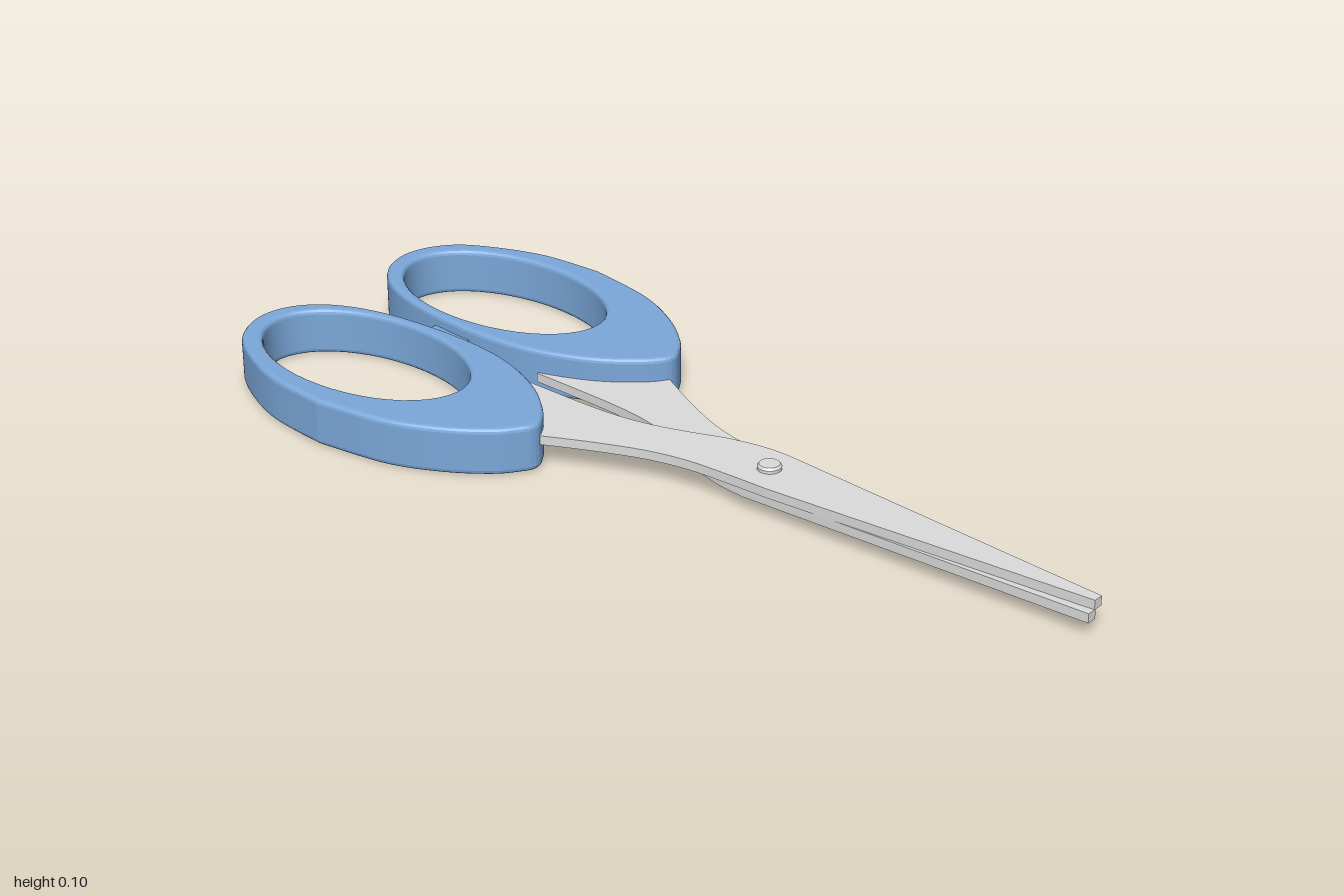
import * as THREE from 'three';
import { toCreasedNormals } from 'three/addons/utils/BufferGeometryUtils.js';

const blue = new THREE.MeshStandardMaterial({ name: 'handleBlue', color: 0x7ba8da });
const steel = new THREE.MeshStandardMaterial({ name: 'bladeSteel', color: 0xdcdcdc });

// Plan points are [x, z]; shapes are drawn with y = -z and then laid flat.
const plan = (points, side) => points.map(([x, z]) => new THREE.Vector2(x * side, -z));

function layFlat(geometry, y, crease) {
  geometry.rotateX(-Math.PI / 2);
  geometry.translate(0, y, 0);
  return toCreasedNormals(geometry, crease);
}

// Finger loop: pointed egg outline with an oval hole and rounded edges
function makeHandle(side) {
  const outline = plan([
    [0.423, -0.61], [0.406, -0.77], [0.345, -0.915], [0.285, -0.977], [0.21, -1], [0.135, -0.977],
    [0.075, -0.91], [0.036, -0.8], [0.019, -0.65], [0.022, -0.52], [0.042, -0.42],
    [0.085, -0.32], [0.14, -0.245], [0.185, -0.207], [0.21, -0.2], [0.237, -0.212],
    [0.285, -0.25], [0.345, -0.332], [0.395, -0.445], [0.423, -0.61],
  ], side);
  const shape = new THREE.Shape();
  shape.moveTo(outline[0].x, outline[0].y);
  shape.splineThru(outline.slice(1));
  // The hole has to wind against the outline, which the mirroring reverses
  const hole = new THREE.Path();
  hole.absellipse(0.207 * side, 0.692, 0.158, 0.265, 0, Math.PI * 2, side > 0);
  shape.holes.push(hole);
  const bevel = 0.01;
  const geometry = new THREE.ExtrudeGeometry(shape, {
    depth: 0.102 - 2 * bevel, bevelThickness: bevel, bevelSize: bevel,
    bevelOffset: -bevel, bevelSegments: 3, curveSegments: 24,
  });
  const mesh = new THREE.Mesh(layFlat(geometry, bevel, 0.25), blue);
  mesh.name = side > 0 ? 'leftHandle' : 'rightHandle';
  return mesh;
}

// Blade: shank from one handle that crosses over at the pivot and tapers to the tip
function makeBlade(side, y, name) {
  const outer = plan([
    [0.198, -0.205], [0.15, -0.11], [0.105, -0.005], [0.082, 0.085], [0.074, 0.17], [0.069, 0.28],
  ], side);
  const inner = plan([
    [-0.067, 0.22], [-0.062, 0.16], [-0.045, 0.09], [-0.014, 0.01],
    [0.01, -0.06], [0.027, -0.14], [0.034, -0.25], [0.035, -0.43],
  ], side);
  const [root, tipInner, tipOuter] = plan([[0.2, -0.38], [0.002, 1], [-0.02, 1]], side);
  const shape = new THREE.Shape();
  shape.moveTo(root.x, root.y);
  shape.lineTo(outer[0].x, outer[0].y);
  shape.splineThru(outer.slice(1));
  shape.lineTo(tipInner.x, tipInner.y);
  shape.lineTo(tipOuter.x, tipOuter.y);
  shape.lineTo(inner[0].x, inner[0].y);
  shape.splineThru(inner.slice(1));
  const geometry = new THREE.ExtrudeGeometry(shape, {
    depth: 0.02, bevelEnabled: false, curveSegments: 6,
  });
  const mesh = new THREE.Mesh(layFlat(geometry, y, 0.5), steel);
  mesh.name = name;
  return mesh;
}

// Pivot screw: shaft with a chamfered head on both faces
function makeScrew() {
  const screw = new THREE.Group();
  screw.name = 'pivotScrew';
  for (const [name, top, bottom, height, y] of [
    ['screwShaft', 0.025, 0.025, 0.053, 0.0515],
    ['upperScrewHead', 0.021, 0.025, 0.005, 0.0805],
    ['lowerScrewHead', 0.025, 0.021, 0.005, 0.0225],
  ]) {
    const part = new THREE.Mesh(new THREE.CylinderGeometry(top, bottom, height, 32), steel);
    part.name = name;
    part.position.y = y;
    screw.add(part);
  }
  screw.position.z = 0.232;
  return screw;
}

export function createModel() {
  const group = new THREE.Group();
  group.name = 'scissors';

  for (const side of [-1, 1]) group.add(makeHandle(side));
  group.add(makeBlade(-1, 0.0515, 'upperBlade'));
  group.add(makeBlade(1, 0.031, 'lowerBlade'));
  group.add(makeScrew());

  // Stop between the two finger loops
  const stop = new THREE.Mesh(new THREE.BoxGeometry(0.06, 0.05, 0.105), blue);
  stop.name = 'handleStop';
  stop.position.set(0, 0.051, -0.665);
  group.add(stop);

  return group;
}
